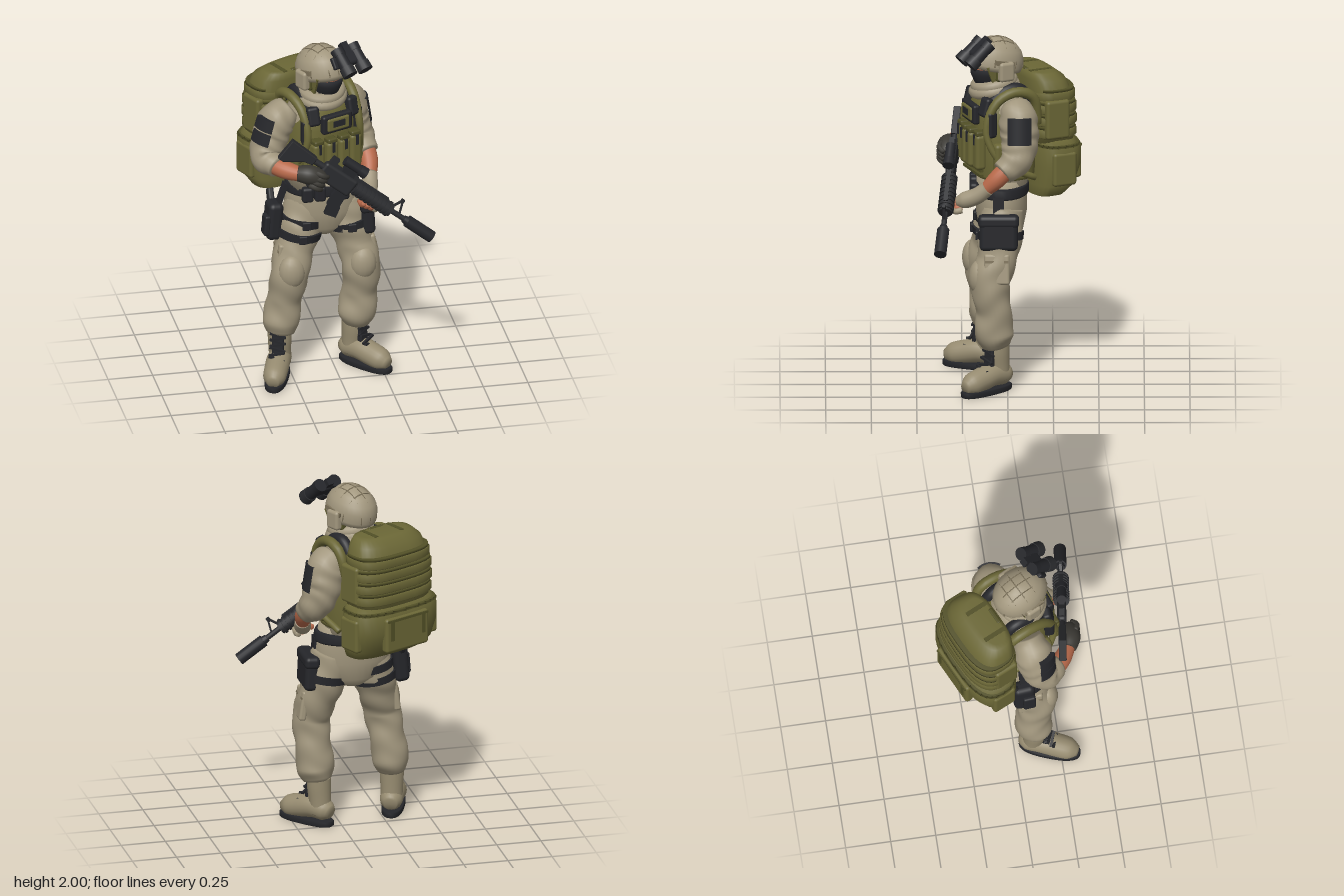
import * as THREE from 'three';
import { RoundedBoxGeometry } from 'three/addons/geometries/RoundedBoxGeometry.js';

const paint = (name, color) => Object.assign(new THREE.MeshStandardMaterial({ color }), { name });
const tan = paint('tan cloth', 0xa1967d), seam = paint('dark tan', 0x7d725a), olive = paint('olive', 0x6b6736),
  darkOlive = paint('dark olive', 0x525027), black = paint('black gear', 0x25262a), gun = paint('gunmetal', 0x2a2b2e),
  skin = paint('skin', 0xb96a4b), glove = paint('dark glove', 0x3b3934), boot = paint('boot leather', 0x968b70);
const V = (x, y, z) => new THREE.Vector3(x, y, z);

function add(parent, name, geo, mat, p = [0, 0, 0], r = [0, 0, 0]) {
  const m = new THREE.Mesh(geo, mat);
  m.name = name;
  m.position.set(...p);
  m.rotation.set(...r);
  parent.add(m);
  return m;
}
function group(parent, name, p, r = [0, 0, 0]) {
  const g = new THREE.Group();
  g.name = name;
  g.position.set(...p);
  g.rotation.set(...r, 'YXZ');
  parent.add(g);
  return g;
}
const box = (parent, name, mat, s, p, r) => add(parent, name, new THREE.BoxGeometry(...s), mat, p, r);
const pad = (parent, name, mat, s, p, r) => add(parent, name, new RoundedBoxGeometry(...s, 3, Math.min(...s) * 0.35), mat, p, r);
// cylinder lying along x or z
const rod = (parent, name, mat, r0, r1, len, p, axis = 'x') => {
  const g = new THREE.CylinderGeometry(r1, r0, len, 16);
  return add(parent, name, axis === 'x' ? g.rotateZ(-Math.PI / 2) : g.rotateX(Math.PI / 2), mat, p);
};
// joins rings of points into a closed skin
function skinRings(rings) {
  const n = rings[0].length, index = [];
  const cap = ring => ring.map(() => ring.reduce((a, p) => a.add(p), V(0, 0, 0)).divideScalar(n));
  const all = [cap(rings[0]), ...rings, cap(rings[rings.length - 1])];
  for (let i = 0; i < all.length - 1; i++) for (let j = 0; j < n; j++) {
    const a = i * n + j, b = i * n + (j + 1) % n;
    index.push(a, b, a + n, b, b + n, a + n);
  }
  const g = new THREE.BufferGeometry().setFromPoints(all.flat());
  g.setIndex(index);
  g.computeVertexNormals();
  return g;
}
// round limb along points [x, y, z, radius], with cloth folds
function limb(pts, fold = 0, seg = 28, sides = 20) {
  const curve = new THREE.CatmullRomCurve3(pts.map(p => V(p[0], p[1], p[2])));
  const radii = new THREE.CatmullRomCurve3(pts.map((p, i) => V(i, p[3], 0)));
  const f = curve.computeFrenetFrames(seg);
  return skinRings(Array.from({ length: seg + 1 }, (_, i) => {
    const t = i / seg, u = curve.getUtoTmapping(t), c = curve.getPoint(u), r = radii.getPoint(u).y;
    return Array.from({ length: sides }, (_, j) => {
      const a = j / sides * Math.PI * 2;
      const k = r * (1 + fold * Math.sin(t * 34 + 1.8 * Math.sin(a * 2)) + fold * 0.6 * Math.sin(a * 3 + t * 15));
      return c.clone().addScaledVector(f.normals[i], k * Math.cos(a)).addScaledVector(f.binormals[i], k * Math.sin(a));
    });
  }));
}
// stacked ovals [y, rx, rz, cz]; power below 1 squares them off
function loft(rows, power = 1, sides = 32) {
  const s = v => Math.sign(v) * Math.abs(v) ** power;
  return skinRings(rows.map(([y, rx, rz, cz = 0]) => Array.from({ length: sides }, (_, j) => {
    const a = j / sides * Math.PI * 2;
    return V(rx * s(Math.cos(a)), y, cz - rz * s(Math.sin(a)));
  })));
}

function buildLegs(root) {
  add(root, 'hips', loft([[0.83, 0.07, 0.08], [0.88, 0.17, 0.12], [0.98, 0.215, 0.14], [1.08, 0.2, 0.14], [1.18, 0.18, 0.135]]), tan, [-0.06, 0, 0.035]);
  add(root, 'belt', loft([[1.09, 0.205, 0.148], [1.1, 0.21, 0.153], [1.14, 0.205, 0.152], [1.15, 0.2, 0.148]]), black, [-0.06, 0, 0.035]);
  for (const x of [-0.17, -0.1, 0.03]) pad(root, 'beltPouch', black, [0.065, 0.09, 0.05], [x, 1.12, 0.185]);
  const legs = [
    { side: 'right', s: -1, yaw: -0.36, foot: [-0.312, 0, 0.115], path: [[-0.15, 1.02, 0.04, 0.11], [-0.185, 0.88, 0.06, 0.122], [-0.225, 0.75, 0.09, 0.11], [-0.26, 0.62, 0.13, 0.106], [-0.285, 0.45, 0.11, 0.096], [-0.303, 0.33, 0.11, 0.104], [-0.31, 0.26, 0.115, 0.076]] },
    { side: 'left', s: 1, yaw: 0.72, foot: [0.115, 0, 0.055], path: [[0.05, 1.02, 0.03, 0.11], [0.085, 0.88, 0.04, 0.122], [0.125, 0.75, 0.06, 0.11], [0.147, 0.62, 0.095, 0.106], [0.143, 0.45, 0.075, 0.098], [0.13, 0.33, 0.075, 0.108], [0.122, 0.26, 0.065, 0.076]] }];
  for (const { side, s, yaw, foot, path } of legs) {
    add(root, side + 'Trouser', limb(path, 0.03, 56, 28), tan);
    const [kx, , kz] = path[3], [tx, , tz] = path[2];
    add(root, side + 'KneePad', new THREE.SphereGeometry(1, 16, 12), tan, [kx, 0.655, kz + 0.06]).scale.set(0.075, 0.1, 0.06);
    pad(root, side + 'CargoPocket', tan, [0.04, 0.17, 0.14], [tx + s * 0.088, 0.72, tz], [0, 0, s * 0.14]);
    box(root, side + 'PocketFlap', seam, [0.008, 0.012, 0.13], [tx + s * 0.1, 0.765, tz], [0, 0, s * 0.14]);
    for (const y of s < 0 ? [0.92, 0.845] : [0.88]) {
      const k = (y - 0.75) / 0.13, at = i => path[2][i] + (path[1][i] - path[2][i]) * k;
      add(root, side + 'ThighStrap', new THREE.CylinderGeometry(0.13, 0.126, 0.045, 28), black, [at(0), y, at(2)], [0, 0, s * 0.16]);
      pad(root, side + 'StrapBuckle', black, [0.05, 0.05, 0.02], [at(0), y, at(2) + 0.128]);
    }
    const b = group(root, side + 'Boot', foot, [0, yaw, 0]);
    add(b, 'shaft', limb([[0, 0.07, -0.01, 0.06], [0, 0.15, -0.005, 0.062], [0, 0.22, 0, 0.066], [0, 0.28, 0, 0.066]]), boot);
    add(b, 'upper', limb([[0, 0.08, -0.08, 0.035], [0, 0.09, -0.045, 0.06], [0, 0.1, 0.04, 0.066], [0, 0.085, 0.12, 0.066], [0, 0.068, 0.195, 0.06], [0, 0.056, 0.24, 0.03]]), boot);
    add(b, 'sole', loft([[0, 0.056, 0.165], [0.006, 0.061, 0.172], [0.028, 0.062, 0.173], [0.034, 0.058, 0.168]], 0.8), black, [0, 0, 0.083]);
    pad(b, 'tongue', black, [0.066, 0.15, 0.03], [0, 0.205, 0.058], [-0.08, 0, 0]);
    for (let i = 0; i < 7; i++) {
      const low = Math.max(0, 3 - i);
      box(b, 'lace', black, [0.09, 0.012, 0.014], [0, 0.15 + i * 0.019 - low * 0.002, 0.068 + low * 0.015], [0, 0, i % 2 ? 0.25 : -0.25]);
    }
  }
  // holster and hip bag
  const h = group(root, 'holster', [-0.335, 0.93, 0.05], [0, 0.1, -0.08]);
  pad(h, 'holsterBody', black, [0.085, 0.22, 0.12], [0, -0.01, 0]);
  pad(h, 'holsterClip', black, [0.035, 0.12, 0.07], [-0.045, -0.03, 0.02]);
  pad(h, 'pistolGrip', gun, [0.035, 0.12, 0.05], [-0.005, 0.09, -0.055], [-0.6, 0, 0]);
  box(h, 'hanger', black, [0.02, 0.13, 0.05], [0.035, 0.15, 0.01], [0, 0, -0.25]);
  const d = group(root, 'hipBag', [0.18, 0.92, 0.05], [0, 0, 0.05]);
  pad(d, 'bagBody', black, [0.075, 0.18, 0.21], [0, -0.01, 0]);
  pad(d, 'bagFlap', black, [0.085, 0.07, 0.225], [0, 0.065, 0]);
  box(d, 'bagHanger', black, [0.02, 0.12, 0.06], [-0.03, 0.13, 0]);
}

function buildTorso(root) {
  const t = group(root, 'torso', [-0.08, 0, 0.03], [0, 0.37, 0]);
  add(t, 'shirt', loft([[1.1, 0.175, 0.13], [1.25, 0.185, 0.14], [1.45, 0.195, 0.15], [1.58, 0.195, 0.145], [1.66, 0.15, 0.115], [1.72, 0.09, 0.09]]), tan);
  add(t, 'vest', loft([[1.19, 0.185, 0.155], [1.21, 0.195, 0.168], [1.35, 0.2, 0.175], [1.52, 0.195, 0.178], [1.6, 0.165, 0.165], [1.66, 0.13, 0.14]], 0.8), olive);
  for (let i = 0; i < 4; i++) {
    const x = -0.12 + i * 0.08, z = 0.2 - Math.abs(x) * 0.15;
    pad(t, 'magazinePouch', olive, [0.072, 0.2, 0.06], [x, 1.36, z]);
    pad(t, 'pouchFlap', darkOlive, [0.06, 0.03, 0.062], [x, 1.465, z - 0.005]);
    box(t, 'pouchClip', black, [0.016, 0.06, 0.008], [x, 1.43, z + 0.031]);
  }
  for (const y of [1.22, 1.25]) box(t, 'vestWebbing', darkOlive, [0.26, 0.015, 0.02], [0, y, 0.17]);
  pad(t, 'chestPanel', black, [0.19, 0.11, 0.04], [0, 1.56, 0.185]);
  pad(t, 'chestPouch', olive, [0.14, 0.075, 0.03], [0, 1.56, 0.2]);
  box(t, 'chestPatch', black, [0.075, 0.035, 0.008], [0, 1.565, 0.216]);
  for (const s of [-1, 1]) {
    const mirrored = pts => limb(pts.map(([x, ...rest]) => [s * x, ...rest]));
    pad(t, 'shoulderBuckle', black, [0.07, 0.11, 0.05], [s * 0.125, 1.61, 0.145], [-0.25, s * 0.3, 0]);
    pad(t, 'radioPouch', black, [0.05, 0.15, 0.06], [s * 0.165, 1.52, 0.13], [0, s * 0.4, 0]);
    pad(t, 'sidePouch', olive, [0.06, 0.19, 0.13], [s * 0.195, 1.32, 0.06]);
    add(t, 'vestStrap', mirrored([[0.11, 1.63, 0.1, 0.03], [0.115, 1.69, 0.02, 0.032], [0.115, 1.69, -0.06, 0.032], [0.11, 1.6, -0.13, 0.03]]), black);
    add(t, 'packStrap', mirrored([[0.165, 1.5, -0.15, 0.02], [0.18, 1.66, -0.11, 0.028], [0.18, 1.695, -0.01, 0.028], [0.17, 1.64, 0.1, 0.026], [0.17, 1.48, 0.16, 0.02], [0.205, 1.3, 0.08, 0.018], [0.19, 1.2, -0.12, 0.018]]), olive);
  }
  // backpack, with padded ridges and dark straps between them
  const p = group(t, 'backpack', [-0.045, 0, -0.24], [0, 0.07, 0]);
  add(p, 'lowerBag', loft([[1.075, 0.21, 0.07, 0.04], [1.085, 0.24, 0.1, 0.025], [1.14, 0.27, 0.13, -0.005], [1.25, 0.285, 0.148, -0.025], [1.36, 0.285, 0.145, -0.025], [1.4, 0.25, 0.11, -0.01]], 0.7), olive);
  add(p, 'mainBag', loft([[1.36, 0.25, 0.125, -0.01], [1.55, 0.255, 0.133, -0.01], [1.66, 0.24, 0.128, 0], [1.73, 0.215, 0.112, 0.015], [1.765, 0.18, 0.085, 0.035], [1.77, 0.15, 0.06, 0.04]], 0.7), olive);
  for (const [y, rx, rz] of [[1.435, 0.262, 0.145], [1.505, 0.265, 0.148], [1.575, 0.262, 0.146], [1.645, 0.25, 0.14]]) {
    add(p, 'ridge', loft([[y - 0.026, rx - 0.01, rz - 0.01], [y - 0.018, rx, rz], [y + 0.018, rx, rz], [y + 0.026, rx - 0.01, rz - 0.01]], 0.7), olive, [0, 0, -0.01]);
    add(p, 'ridgeStrap', loft([[y + 0.026, rx - 0.006, rz - 0.006], [y + 0.04, rx - 0.008, rz - 0.008]], 0.7), darkOlive, [0, 0, -0.01]);
  }
  pad(p, 'lowerPanel', olive, [0.3, 0.2, 0.05], [0, 1.24, -0.16]);
  box(p, 'panelStrap', darkOlive, [0.28, 0.014, 0.05], [0, 1.325, -0.164]);
  add(p, 'lowerBand', loft([[1.36, 0.288, 0.147], [1.375, 0.278, 0.138]], 0.7), darkOlive, [0, 0, -0.025]);
  for (const s of [-1, 1]) {
    pad(p, 'sideBag', olive, [0.05, 0.22, 0.14], [s * 0.24, 1.52, 0.01]);
    pad(p, 'lowerSidePocket', olive, [0.05, 0.19, 0.14], [s * 0.265, 1.24, -0.02]);
    box(p, 'lidStrap', darkOlive, [0.025, 0.008, 0.13], [s * 0.09, 1.768, 0.04]);
    box(p, 'panelBuckle', darkOlive, [0.022, 0.12, 0.01], [s * 0.11, 1.27, -0.185]);
  }
  pad(p, 'carryHandle', darkOlive, [0.1, 0.03, 0.025], [0, 1.76, 0.1]);
}

function buildArms(root) {
  add(root, 'leftSleeve', limb([[0.05, 1.61, -0.04, 0.075], [0.1, 1.56, -0.055, 0.104], [0.12, 1.44, -0.065, 0.105], [0.165, 1.33, -0.045, 0.09], [0.195, 1.265, 0.03, 0.064]], 0.03, 40), tan);
  add(root, 'rightSleeve', limb([[-0.25, 1.61, 0.08, 0.075], [-0.32, 1.56, 0.1, 0.103], [-0.365, 1.46, 0.115, 0.1], [-0.395, 1.36, 0.16, 0.087], [-0.345, 1.33, 0.235, 0.062]], 0.03, 40), tan);
  add(root, 'leftForearm', limb([[0.19, 1.3, -0.01, 0.05], [0.2, 1.23, 0.06, 0.05], [0.19, 1.16, 0.13, 0.036]]), skin);
  add(root, 'rightForearm', limb([[-0.39, 1.345, 0.19, 0.05], [-0.31, 1.325, 0.265, 0.05], [-0.21, 1.31, 0.325, 0.036]]), skin);
  add(root, 'leftGlove', limb([[0.195, 1.18, 0.11, 0.042], [0.18, 1.13, 0.17, 0.046], [0.16, 1.1, 0.24, 0.045], [0.15, 1.09, 0.28, 0.025]]), tan);
  add(root, 'rightGlove', limb([[-0.25, 1.32, 0.31, 0.044], [-0.19, 1.315, 0.33, 0.055], [-0.13, 1.29, 0.335, 0.045], [-0.11, 1.27, 0.335, 0.025]]), glove);
  for (let i = 0; i < 4; i++) {
    const x = i * 0.024, y = -i * 0.012;
    add(root, 'leftFinger', limb([[0.11 + x, 1.085 + y, 0.25, 0.018], [0.115 + x, 1.08 + y, 0.29, 0.017], [0.12 + x, 1.1 + y, 0.315, 0.013]], 0, 8, 8), i < 3 ? skin : tan);
    add(root, 'rightFinger', limb([[-0.16 - x / 2, 1.34 + y * 2, 0.36, 0.016], [-0.12 - x / 2, 1.32 + y * 2, 0.375, 0.016], [-0.09 - x / 2, 1.3 + y * 2, 0.35, 0.013]], 0, 8, 8), glove);
  }
  const patch = (name, r, h, a, span, p, tilt) => add(root, name, new THREE.CylinderGeometry(r, r + 0.002, h, 10, 1, false, a - span / 2, span), black, p, [0, 0, tilt]);
  patch('leftArmPatch', 0.116, 0.15, 1.6, 1.2, [0.112, 1.49, -0.062], 0.14);
  for (const y of [1.55, 1.47]) patch('rightArmPatch', 0.115, 0.068, -0.85, 1.1, [-0.345 - (1.52 - y) * 0.25, y, 0.108], -0.25);
}

function buildHead(root) {
  add(root, 'scarf', limb([[-0.07, 1.65, 0.06, 0.1], [-0.07, 1.69, 0.06, 0.12], [-0.07, 1.745, 0.06, 0.08]], 0.04), tan);
  for (const [r, y] of [[0.11, 1.68], [0.1, 1.71]]) add(root, 'scarfRoll', new THREE.TorusGeometry(r, 0.033, 10, 32), tan, [-0.07, y, 0.075], [Math.PI / 2 + 0.2, 0, 0]);
  const h = group(root, 'head', [-0.07, 1.8, 0.07], [0, 0.47, 0]);
  add(h, 'face', loft([[-0.1, 0.05, 0.06], [-0.06, 0.078, 0.095], [0.02, 0.088, 0.11], [0.08, 0.09, 0.1]]), skin, [0, 0, 0.022]);
  add(h, 'faceMask', loft([[-0.11, 0.045, 0.06], [-0.08, 0.072, 0.095], [-0.03, 0.089, 0.117], [0.002, 0.091, 0.116]]), black, [0, 0, 0.024]);
  pad(h, 'goggles', black, [0.12, 0.035, 0.05], [0, 0.042, 0.115]);
  const k = group(h, 'helmet', [0, 0.015, 0], [-0.2, 0, 0]);
  add(k, 'helmetShell', loft([[-0.025, 0.124, 0.152], [0, 0.13, 0.16], [0.05, 0.127, 0.157], [0.09, 0.112, 0.138], [0.125, 0.082, 0.102], [0.146, 0.042, 0.052], [0.154, 0.012, 0.015]]), tan);
  // cover seams lying on the shell
  const seams = group(k, 'helmetSeams', [0, 0, 0]);
  seams.scale.set(0.13, 0.155, 0.16);
  for (const d of [-0.4, 0, 0.4]) {
    const arc = new THREE.TorusGeometry(Math.sqrt(1 - d * d), 0.022, 6, 32, Math.PI);
    add(seams, 'lengthSeam', arc, seam, [d, 0, 0], [0, Math.PI / 2, 0]);
    add(seams, 'crossSeam', arc, seam, [0, 0, d]);
  }
  pad(k, 'nightVisionMount', black, [0.055, 0.07, 0.03], [0, 0.07, 0.15], [-0.35, 0, 0]);
  for (const s of [-1, 1]) {
    pad(h, 'earCup', tan, [0.05, 0.11, 0.09], [s * 0.125, 0, -0.005]);
    pad(h, 'earPad', darkOlive, [0.04, 0.12, 0.1], [s * 0.098, 0, -0.005]);
    box(h, 'chinStrap', olive, [0.012, 0.14, 0.04], [s * 0.094, -0.03, 0.055], [0.4, 0, s * -0.1]);
    box(k, 'helmetRail', seam, [0.012, 0.025, 0.12], [s * 0.128, 0.03, 0.01]);
  }
  // twin night vision tubes
  const n = group(root, 'nightVision', [0.075, 1.92, 0.175], [0.72, 0.47, 0]);
  pad(n, 'bridge', black, [0.1, 0.05, 0.08], [0, -0.005, -0.01]);
  box(n, 'mountArm', black, [0.04, 0.04, 0.09], [0, 0, -0.06]);
  for (const s of [-1, 1]) {
    rod(n, 'tube', black, 0.033, 0.036, 0.1, [s * 0.053, 0, 0], 'z');
    rod(n, 'lens', gun, 0.041, 0.043, 0.05, [s * 0.053, 0, 0.06], 'z');
    rod(n, 'eyepiece', black, 0.038, 0.036, 0.04, [s * 0.053, 0, -0.06], 'z');
  }
}

function buildRifle(root) {
  const g = group(root, 'rifle', [-0.295, 1.475, 0.272]);
  const X = V(0.785, -0.605, 0.1).normalize(), Y = V(-0.1, 0, 0.785).cross(X).normalize();
  g.quaternion.setFromRotationMatrix(new THREE.Matrix4().makeBasis(X, Y, X.clone().cross(Y)));
  const stock = new THREE.Shape([[0, 0.04], [0.17, 0.03], [0.17, -0.01], [0.12, -0.02], [0.03, -0.085], [0, -0.085]].map(p => new THREE.Vector2(...p)));
  add(g, 'stock', new THREE.ExtrudeGeometry(stock, { depth: 0.034, bevelSize: 0.004, bevelThickness: 0.004, bevelSegments: 1 }), gun, [0, 0, -0.017]);
  rod(g, 'bufferTube', gun, 0.018, 0.018, 0.12, [0.2, 0.01, 0]);
  pad(g, 'receiver', gun, [0.22, 0.11, 0.05], [0.34, -0.005, 0]);
  pad(g, 'pistolGrip', gun, [0.045, 0.11, 0.036], [0.25, -0.085, 0], [0, 0, -0.35]);
  for (let i = 0; i < 3; i++) box(g, 'magazine', black, [0.07, 0.065, 0.03], [0.41 + i * i * 0.006, -0.07 - i * 0.052, 0], [0, 0, i * 0.13]);
  box(g, 'topRail', gun, [0.4, 0.014, 0.024], [0.45, 0.055, 0]);
  rod(g, 'handguard', gun, 0.04, 0.038, 0.25, [0.575, 0.01, 0]);
  for (let i = 0; i < 9; i++) rod(g, 'handguardRib', gun, 0.045, 0.045, 0.013, [0.465 + i * 0.027, 0.01, 0]);
  rod(g, 'barrel', gun, 0.015, 0.015, 0.18, [0.75, 0.01, 0]);
  box(g, 'rearSight', gun, [0.04, 0.05, 0.03], [0.265, 0.07, 0]);
  box(g, 'opticMount', black, [0.08, 0.05, 0.03], [0.37, 0.075, 0]);
  rod(g, 'optic', black, 0.027, 0.027, 0.12, [0.37, 0.11, 0]);
  rod(g, 'opticLens', black, 0.03, 0.033, 0.045, [0.43, 0.11, 0]);
  for (const s of [-1, 1]) box(g, 'frontSightLeg', gun, [0.01, 0.08, 0.014], [0.72 + s * 0.02, 0.05, 0], [0, 0, s * 0.4]);
  box(g, 'frontSightPost', gun, [0.02, 0.025, 0.016], [0.72, 0.09, 0]);
  rod(g, 'suppressor', black, 0.034, 0.034, 0.17, [0.9, 0.01, 0]);
  rod(g, 'suppressorCollar', black, 0.02, 0.026, 0.03, [0.805, 0.01, 0]);
}

export function createModel() {
  const root = new THREE.Group();
  root.name = 'soldier';
  for (const build of [buildLegs, buildTorso, buildArms, buildHead, buildRifle]) build(root);
  return root;
}
